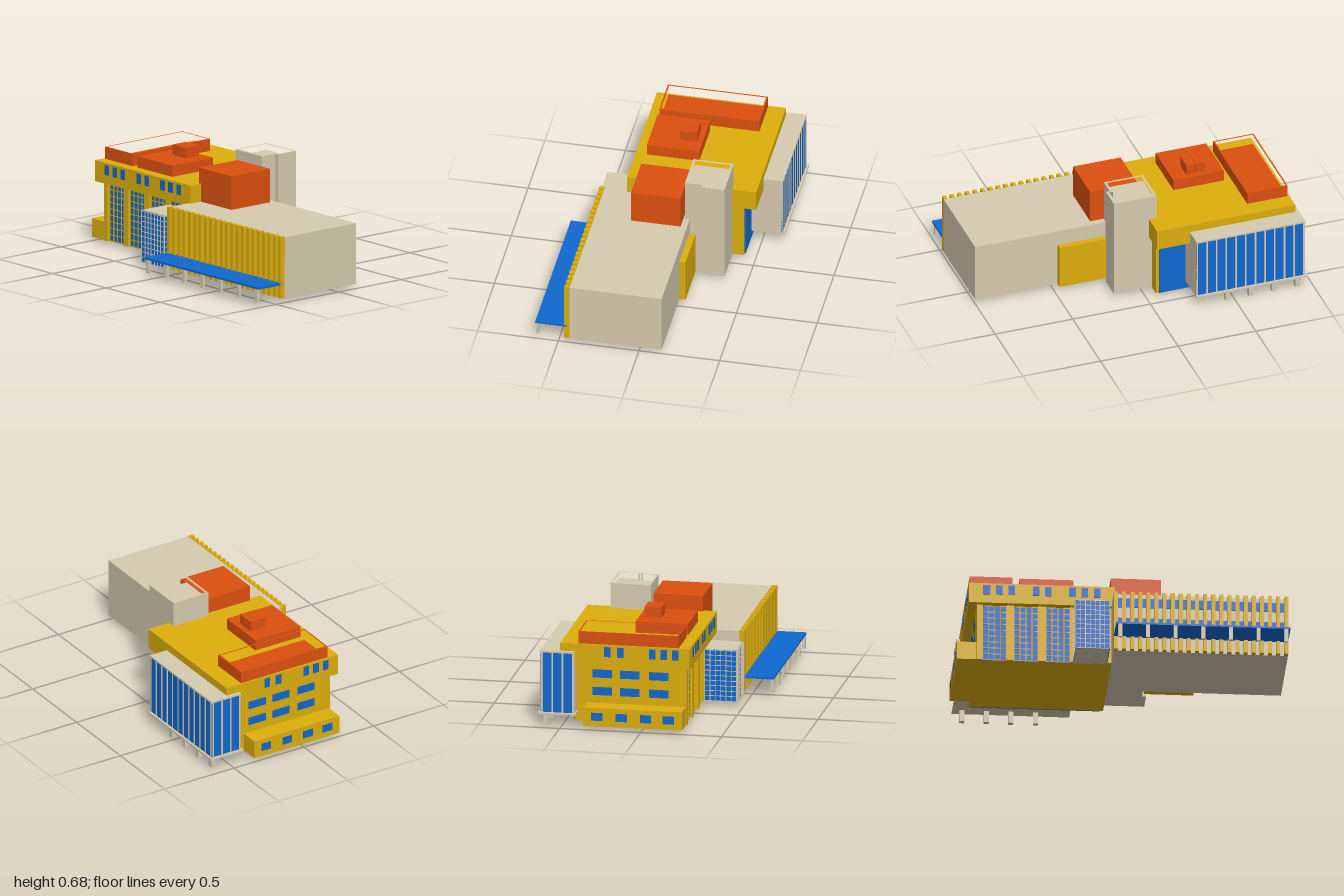
import * as THREE from 'three';

const mat = (color, side = THREE.FrontSide) => new THREE.MeshStandardMaterial({ color, side });
const YELLOW = mat(0xdcae0c), ORANGE = mat(0xdc500f), BLUE = mat(0x0f68d0), BEIGE = mat(0xd6cab0);

// Box given by its limits on each axis
function block(parent, name, material, [x0, x1], [y0, y1], [z0, z1]) {
  const mesh = new THREE.Mesh(new THREE.BoxGeometry(x1 - x0, y1 - y0, z1 - z0), material);
  mesh.position.set((x0 + x1) / 2, (y0 + y1) / 2, (z0 + z1) / 2);
  mesh.name = name;
  parent.add(mesh);
  return mesh;
}

// Glass wall facing +z, centred on x, standing on y = 0, with a grid of bars
function glazing(parent, name, w, h, cols, rows, bar, barMat, depth = 0.004) {
  const g = new THREE.Group();
  g.name = name;
  block(g, 'glass', BLUE, [-w / 2, w / 2], [0, h], [0, 0.004]);
  for (let i = 0; i <= cols; i++) {
    const x = -w / 2 + bar / 2 + (w - bar) * i / cols;
    block(g, 'mullion', barMat, [x - bar / 2, x + bar / 2], [0, h], [0, 0.004 + depth]);
  }
  for (let j = 0; rows && j <= rows; j++) {
    const y = bar / 2 + (h - bar) * j / rows;
    block(g, 'transom', barMat, [-w / 2, w / 2], [y - bar / 2, y + bar / 2], [0, 0.0035 + depth]);
  }
  parent.add(g);
  return g;
}

// Vertical prism over a plan outline of [x, z] points, with an optional hole
function prism(parent, name, material, outline, hole, y0, y1) {
  const pts = list => list.map(([x, z]) => new THREE.Vector2(x, -z));
  const shape = new THREE.Shape(pts(outline));
  if (hole) shape.holes.push(new THREE.Path(pts(hole)));
  const geo = new THREE.ExtrudeGeometry(shape, { depth: y1 - y0, bevelEnabled: false });
  geo.rotateX(-Math.PI / 2);
  const mesh = new THREE.Mesh(geo, material);
  mesh.position.y = y0;
  mesh.name = name;
  parent.add(mesh);
}

const rect = (x0, x1, z0, z1) => [[x0, z0], [x1, z0], [x1, z1], [x0, z1]];

function group(root, name) {
  const g = new THREE.Group();
  g.name = name;
  root.add(g);
  return g;
}

function buildHall(root) {
  const g = group(root, 'mainHall');
  block(g, 'lowerBody', YELLOW, [-0.88, -0.06], [0.025, 0.39], [-0.43, 0.24]);
  block(g, 'upperFloor', YELLOW, [-0.93, -0.04], [0.39, 0.52], [-0.51, 0.29]);
  block(g, 'rearGlass', BLUE, [-0.87, -0.08], [0.025, 0.39], [-0.437, -0.429]);

  // Front piers with gridded glass between
  for (const [a, b] of [[-0.88, -0.845], [-0.695, -0.655], [-0.505, -0.46], [-0.31, -0.275], [-0.125, -0.06]])
    block(g, 'frontPier', YELLOW, [a, b], [0.025, 0.39], [0.239, 0.262]);
  for (const x of [-0.77, -0.58, -0.385, -0.2])
    glazing(g, 'frontGlazing', 0.15, 0.365, 4, 9, 0.005, YELLOW).position.set(x, 0.025, 0.24);

  // Upper floor windows, front and left side
  for (const x of [-0.82, -0.745, -0.67, -0.52, -0.447, -0.3, -0.225, -0.15])
    block(g, 'upperWindow', BLUE, [x - 0.02, x + 0.02], [0.445, 0.507], [0.285, 0.293]);
  for (const z of [-0.22, -0.14, 0.06, 0.13, 0.2])
    block(g, 'sideUpperWindow', BLUE, [-0.933, -0.925], [0.445, 0.507], [z - 0.02, z + 0.02]);

  // Left wall windows in two rows
  for (const y of [0.19, 0.3])
    for (const z of [-0.26, -0.09, 0.09])
      block(g, 'sideWindow', BLUE, [-0.884, -0.875], [y, y + 0.05], [z - 0.06, z + 0.06]);

  // Low annexe on the left
  block(g, 'annexe', YELLOW, [-1, -0.87], [0.025, 0.14], [-0.355, 0.255]);
  for (const z of [-0.27, -0.12, 0.03, 0.17])
    block(g, 'annexeWindow', BLUE, [-1, -0.99], [0.06, 0.11], [z - 0.035, z + 0.035]).position.x -= 0.001;
}

function buildRoofBlocks(root) {
  const g = group(root, 'roofBlocks');
  // Open parapet, stepped plant room and stair house
  prism(g, 'roofParapet', ORANGE, rect(-0.92, -0.66, -0.4, 0.22), rect(-0.91, -0.67, -0.39, 0.21), 0.52, 0.595);
  block(g, 'parapetFloor', ORANGE, [-0.915, -0.665], [0.515, 0.524], [-0.395, 0.215]);
  block(g, 'plantRoom', ORANGE, [-0.615, -0.29], [0.515, 0.59], [-0.105, 0.22]);
  for (const x of [-0.505, -0.444])
    block(g, 'roofVent', ORANGE, [x, x + 0.059], [0.585, 0.655], [-0.07, 0.035]);
  block(g, 'stairHouse', ORANGE, [-0.06, 0.245], [0.4, 0.617], [-0.1, 0.207]);
}

function buildEntrance(root) {
  const g = group(root, 'entrance');
  block(g, 'entranceBody', BEIGE, [-0.291, -0.089], [0.025, 0.352], [0.24, 0.458]);
  glazing(g, 'entranceGlass', 0.21, 0.322, 7, 10, 0.004, BEIGE).position.set(-0.19, 0.025, 0.458);
  for (const s of [-1, 1]) {
    const side = glazing(g, 'entranceSideGlass', 0.2, 0.322, 6, 10, 0.004, BEIGE, 0.002);
    side.position.set(-0.19 + s * 0.1, 0.025, 0.36);
    side.rotation.y = s * Math.PI / 2;
  }
}

function buildWing(root) {
  const g = group(root, 'rightWing');
  block(g, 'wingBody', BEIGE, [-0.06, 1], [0.03, 0.408], [-0.14, 0.432]);
  block(g, 'rearBox', YELLOW, [0.17, 0.47], [0.03, 0.31], [-0.178, -0.135]);

  // Yellow fins with two rows of windows between them
  const count = 22, pitch = (1.06 - 0.024) / (count - 1);
  for (let i = 0; i < count; i++) {
    const x = -0.06 + pitch * i;
    block(g, 'fin', YELLOW, [x, x + 0.024], [0.03, 0.412], [0.43, 0.464]);
    if (i === count - 1) break;
    for (const y of [0.19, 0.32])
      block(g, 'wingWindow', BLUE, [x + 0.024, x + pitch], [y, y + 0.06], [0.43, 0.436]);
  }

  // Canopy on posts
  block(g, 'canopy', BLUE, [-0.06, 1], [0.113, 0.125], [0.45, 0.643]);
  for (let i = 0; i < 7; i++) {
    const x = -0.035 + 1.01 * i / 6;
    block(g, 'canopyPost', BEIGE, [x - 0.012, x + 0.012], [0.03, 0.115], [0.624, 0.642]);
  }
}

function buildTower(root) {
  const g = group(root, 'tower');
  // Stepped plan with a sunken roof
  const outline = [[-0.09, -0.36], [0.185, -0.36], [0.185, -0.215], [0.16, -0.215], [0.16, -0.11], [-0.09, -0.11]];
  const inner = [[-0.075, -0.345], [0.17, -0.345], [0.17, -0.23], [0.145, -0.23], [0.145, -0.125], [-0.075, -0.125]];
  prism(g, 'towerShaft', BEIGE, outline, null, 0.03, 0.635);
  prism(g, 'towerParapet', BEIGE, outline, inner, 0.635, 0.677);
}

function buildRearHall(root) {
  const g = group(root, 'rearHall');
  block(g, 'rearHallBody', BEIGE, [-0.944, -0.25], [0.08, 0.47], [-0.624, -0.42]);
  block(g, 'rearHallFloor', BEIGE, [-0.965, -0.25], [0.074, 0.086], [-0.643, -0.41]);
  block(g, 'rearHallRoof', BEIGE, [-0.953, -0.25], [0.46, 0.471], [-0.632, -0.42]);

  // Glass with upright fins on the back and the left end
  const back = glazing(g, 'rearGlazing', 0.695, 0.375, 11, 0, 0.01, BEIGE);
  back.position.set(-0.5985, 0.086, -0.624);
  back.rotation.y = Math.PI;
  const end = glazing(g, 'endGlazing', 0.2, 0.375, 3, 0, 0.01, BEIGE);
  end.position.set(-0.944, 0.086, -0.524);
  end.rotation.y = -Math.PI / 2;

  for (const x of [-0.907, -0.757, -0.608, -0.458])
    block(g, 'rearPost', BEIGE, [x - 0.015, x + 0.015], [0, 0.075], [-0.615, -0.585]);
}

export function createModel() {
  const root = new THREE.Group();
  root.name = 'building';
  buildHall(root);
  buildRoofBlocks(root);
  buildEntrance(root);
  buildWing(root);
  buildTower(root);
  buildRearHall(root);
  return root;
}
